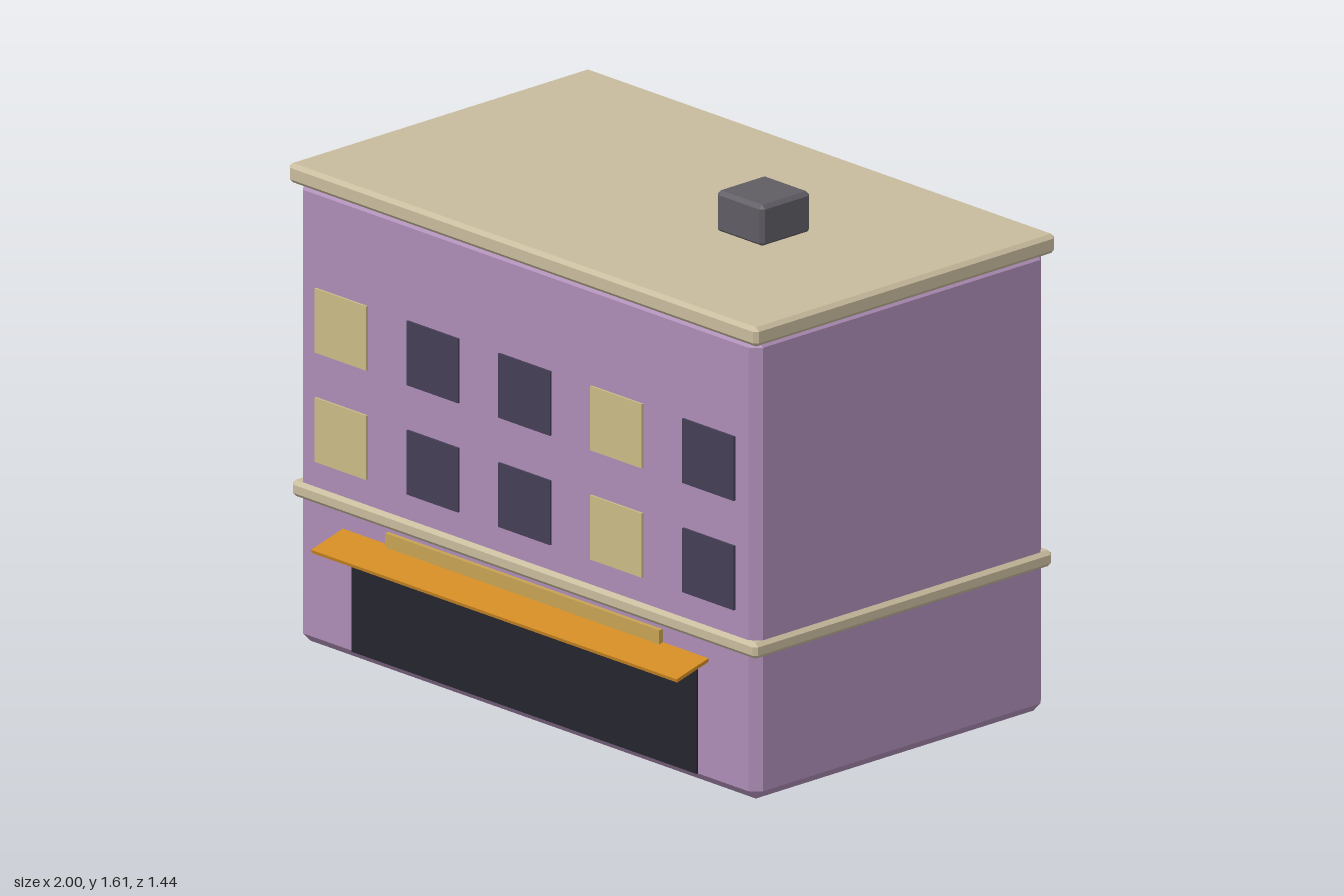
import * as THREE from 'three';
import { ConvexGeometry } from 'three/addons/geometries/ConvexGeometry.js';

const mat = (name, color) => Object.assign(new THREE.MeshStandardMaterial({ color }), { name });

// Box with every edge chamfered by c
function chamferBox(w, h, d, c) {
  const [x, y, z] = [w / 2, h / 2, d / 2];
  const points = [];
  for (const sx of [-1, 1]) for (const sy of [-1, 1]) for (const sz of [-1, 1]) {
    points.push(
      new THREE.Vector3(sx * x, sy * (y - c), sz * (z - c)),
      new THREE.Vector3(sx * (x - c), sy * y, sz * (z - c)),
      new THREE.Vector3(sx * (x - c), sy * (y - c), sz * z));
  }
  return new ConvexGeometry(points);
}

export function createModel() {
  const model = new THREE.Group();
  model.name = 'shopBuilding';

  const wall = mat('mauve wall', 0xad8db6);
  const trim = mat('cream trim', 0xc8bb9d);
  const lit = mat('lit window', 0xcaba86);
  const dark = mat('dark window', 0x443e55);
  const shop = mat('shopfront glass', 0x24242e);
  const canvas = mat('orange awning', 0xd08a24);
  const board = mat('gold sign board', 0xc6a253);
  const metal = mat('grey roof unit', 0x5f5d63);

  function add(parent, name, geometry, material, x, y, z) {
    const mesh = new THREE.Mesh(geometry, material);
    mesh.name = name;
    mesh.position.set(x, y, z);
    parent.add(mesh);
    return mesh;
  }

  // Main block, trims and roof unit
  add(model, 'walls', chamferBox(1.96, 1.44, 1.18, 0.03), wall, 0, 0.72, 0);
  add(model, 'floorBand', chamferBox(1.984, 0.05, 1.204, 0.012), trim, 0, 0.475, 0);
  add(model, 'roofCornice', chamferBox(2, 0.06, 1.214, 0.012), trim, 0, 1.455, 0);
  add(model, 'roofUnit', chamferBox(0.2, 0.13, 0.2, 0.012), metal, 0.39, 1.545, 0);

  // Matching facades on both long sides; lit columns keep the same x on each
  for (const side of [1, -1]) {
    const facade = new THREE.Group();
    facade.name = side > 0 ? 'frontFacade' : 'backFacade';
    facade.rotation.y = side > 0 ? 0 : Math.PI;
    model.add(facade);

    for (const y of [0.68, 1.02]) for (let i = -2; i <= 2; i++) {
      const isLit = i === -2 || i === 1;
      add(facade, isLit ? 'litWindow' : 'darkWindow', new THREE.BoxGeometry(0.22, 0.2, 0.009),
        isLit ? lit : dark, side * i * 0.392, y, 0.5925);
    }
    add(facade, 'shopfront', new THREE.BoxGeometry(1.47, 0.34, 0.009), shop, 0, 0.2, 0.5925);
    add(facade, 'signBoard', new THREE.BoxGeometry(1.17, 0.06, 0.016), board, 0, 0.41, 0.597);
    const awning = add(facade, 'awning', new THREE.BoxGeometry(1.56, 0.011, 0.138), canvas, 0, 0.378, 0.651);
    awning.rotation.x = 0.26;
  }
  return model;
}
